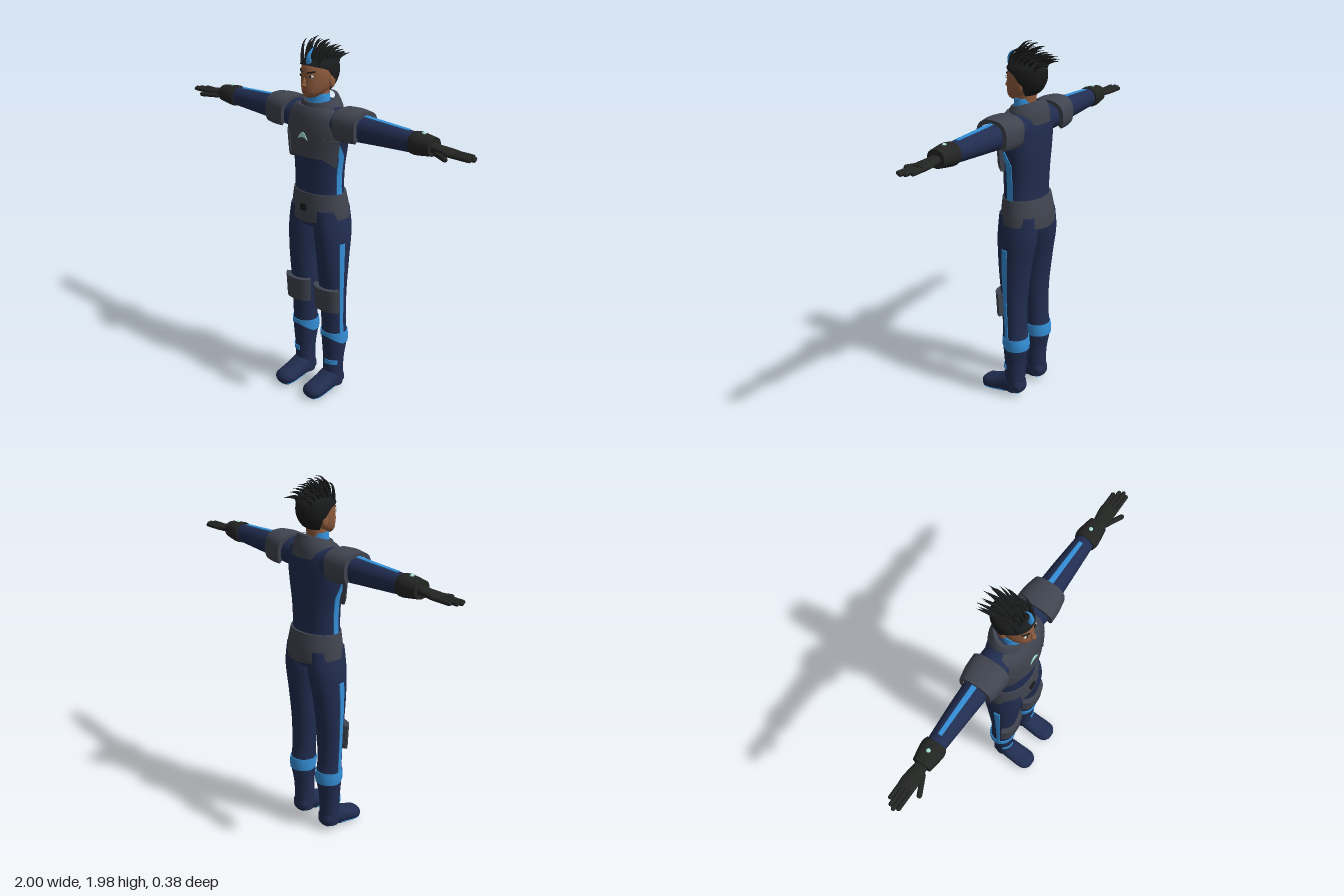
import * as THREE from 'three';
import { mergeVertices, toCreasedNormals } from 'three/addons/utils/BufferGeometryUtils.js';

const PI = Math.PI;
const palette = {
  navy: 0x212d50, armourGrey: 0x40444f, brightBlue: 0x348fd8, gloveBlack: 0x232523, hairBlack: 0x191a1b,
  skin: 0x8f5c3e, paleAqua: 0xa5e3d8, eyeWhite: 0xd8d8d4, lip: 0x74432f
};
const mats = {};
for (const [name, color] of Object.entries(palette)) {
  mats[name] = new THREE.MeshStandardMaterial({ color });
  mats[name].name = name;
}

// Smooth interpolation of cross-sections [t, c1, c2, r1, r2]
function sample(s, t) {
  let i = 0;
  while (i < s.length - 2 && t > s[i + 1][0]) i++;
  const h = s[i + 1][0] - s[i][0];
  const u = Math.min(1, Math.max(0, (t - s[i][0]) / h));
  const slope = (j, k) => {
    const a = s[Math.max(0, j - 1)], b = s[Math.min(s.length - 1, j + 1)];
    return (b[k] - a[k]) / (b[0] - a[0]);
  };
  const u2 = u * u, u3 = u2 * u;
  return s[i].map((p, k) => p * (2 * u3 - 3 * u2 + 1) + slope(i, k) * h * (u3 - 2 * u2 + u)
    + s[i + 1][k] * (3 * u2 - 2 * u3) + slope(i + 1, k) * h * (u3 - u2));
}

// Axis mappings: angle 0 points at +x, +z or +y; angle PI/2 at +z, +y or +x
const alongY = (t, p, q) => [p, t, q];
const alongX = (t, p, q) => [t, q, p];
const alongZ = (t, p, q) => [q, p, t];

// Surface over cross-sections: a closed body, or a raised plate when given an offset and depth
function loft(s, o = {}) {
  const { axis = alongY, off = 0, depth = 0, rows = 20, cols = 28, n = 2, a0 = 0, a1 = 2 * PI, crease = 0.8 } = o;
  const { t0 = s[0][0], t1 = s[s.length - 1][0] } = o;
  const val = (f, x) => (typeof f === 'function' ? f(x) : f);
  const ring = typeof a0 === 'number' && typeof a1 === 'number' && a1 - a0 > 6.28;
  const steps = (count, edge) => {
    const list = Array.from({ length: count + 1 }, (_, i) => [i / count, false]);
    return edge ? [[0, true], ...list, [1, true]] : list;
  };
  const us = steps(rows, true), vs = steps(cols, !ring), pos = [], idx = [];
  const bend = (x) => Math.sign(x) * Math.pow(Math.abs(x), 2 / n);
  for (const [u, edgeU] of us) for (const [v, edgeV] of vs) {
    const t = THREE.MathUtils.lerp(val(t0, v), val(t1, v), u);
    const a = THREE.MathUtils.lerp(val(a0, t), val(a1, t), v);
    const [, c1, c2, r1, r2] = sample(s, t);
    const edge = edgeU || edgeV, k = edge && !depth ? 0 : 1, d = off - (edge ? depth : 0);
    pos.push(...axis(t, c1 + k * (r1 + d) * bend(Math.cos(a)), c2 + k * (r2 + d) * bend(Math.sin(a))));
  }
  const w = vs.length;
  for (let i = 0; i < us.length - 1; i++) for (let j = 0; j < w - 1; j++) {
    const p = i * w + j;
    idx.push(p, p + w, p + w + 1, p, p + w + 1, p + 1);
  }
  const g = new THREE.BufferGeometry();
  g.setAttribute('position', new THREE.Float32BufferAttribute(pos, 3));
  g.setIndex(idx);
  return mergeVertices(toCreasedNormals(mergeVertices(g, 1e-5), crease));
}

// Curved lock tapering to a point
function spike(points, radius) {
  const path = new THREE.CatmullRomCurve3(points), ts = 10, rs = 6;
  const g = new THREE.TubeGeometry(path, ts, radius, rs), p = g.attributes.position, v = new THREE.Vector3();
  for (let i = 0; i < p.count; i++) {
    const f = Math.floor(i / (rs + 1)) / ts;
    v.fromBufferAttribute(p, i).lerp(path.getPointAt(f), Math.pow(f, 1.4));
    p.setXYZ(i, v.x, v.y, v.z);
  }
  g.computeVertexNormals();
  return g;
}

const ball = (x, y, z, rx, ry, rz) => new THREE.SphereGeometry(1, 16, 10).scale(rx, ry, rz).translate(x, y, z);

export function createModel() {
  const model = new THREE.Group();
  model.name = 'armouredFigure';
  const add = (name, geo, mat) => {
    const m = new THREE.Mesh(geo, mats[mat]);
    m.name = name;
    model.add(m);
  };
  const pair = (name, geo, mat) => {
    const other = geo.clone().scale(-1, 1, 1);
    other.index.array.reverse();
    add(name + 'Left', geo, mat);
    add(name + 'Right', other, mat);
  };

  // Torso
  const torso = [[0.98, 0, -0.015, 0.13, 0.1], [1.05, 0, -0.015, 0.165, 0.115], [1.17, 0, -0.01, 0.15, 0.105],
    [1.3, 0, -0.01, 0.152, 0.108], [1.42, 0, -0.013, 0.172, 0.108], [1.52, 0, -0.015, 0.185, 0.105],
    [1.59, 0, -0.018, 0.172, 0.093], [1.63, 0, -0.02, 0.115, 0.075], [1.65, 0, -0.02, 0.07, 0.06]];
  add('torso', loft(torso, { rows: 28, cols: 36 }), 'navy');
  const half = (t) => 0.8 + 0.36 * THREE.MathUtils.smoothstep(t, 1.37, 1.48);
  add('chestPlate', loft(torso, { t0: 1.37, t1: 1.625, a0: (t) => PI / 2 - half(t), a1: (t) => PI / 2 + half(t),
    off: 0.021, depth: 0.025 }), 'armourGrey');
  pair('ribPlate', loft(torso, { t0: (v) => 1.325 + 0.05 * v, t1: 1.475, a0: 0.38, a1: 0.95, off: 0.026, depth: 0.03, cols: 10 }), 'armourGrey');
  const sweep = (t) => Math.max(0, t - 1.37) * 5;
  pair('torsoStripe', loft(torso, { t0: 1.16, t1: 1.5, a0: (t) => sweep(t) - 0.08, a1: (t) => sweep(t) + 0.22,
    off: 0.005, depth: 0.008, cols: 4 }), 'brightBlue');
  add('chestLight', loft(torso, { t0: (v) => 1.462 + 0.012 * Math.sin(PI * v), t1: (v) => 1.465 + 0.035 * Math.sin(PI * v),
    a0: PI / 2 - 0.16, a1: PI / 2 + 0.16, off: 0.025, depth: 0.006, rows: 3, cols: 12 }), 'paleAqua');

  // Belt
  const belt = [[0.98, 0, -0.018, 0.178, 0.128], [1.07, 0, -0.018, 0.172, 0.127], [1.18, 0, -0.012, 0.153, 0.112]];
  add('belt', loft(belt, { t0: (v) => 1.022 + 0.012 * Math.cos(4 * PI * v), t1: 1.17, off: 0.002, depth: 0.03, rows: 8, cols: 40 }), 'armourGrey');
  add('buckle', loft(belt, { t0: 1.072, t1: 1.108, a0: PI / 2 - 0.12, a1: PI / 2 + 0.12, off: 0.01, depth: 0.012, rows: 2, cols: 3 }), 'hairBlack');

  // Collar and neck
  const collar = [[1.57, 0, -0.022, 0.132, 0.104], [1.63, 0, -0.026, 0.118, 0.096], [1.69, 0, -0.028, 0.078, 0.074]];
  add('collar', loft(collar, { t1: (v) => 1.665 - 0.02 * Math.sin(2 * PI * v), depth: 0.018, rows: 8, cols: 36 }), 'armourGrey');
  add('neckBand', loft([[1.6, 0, 0, 0.075, 0.07], [1.65, 0, 0, 0.068, 0.056], [1.69, 0, 0, 0.063, 0.052]], { rows: 6 }), 'brightBlue');
  add('neck', loft([[1.66, 0, -0.005, 0.056, 0.05], [1.75, 0, -0.01, 0.056, 0.055]], { rows: 4 }), 'skin');

  // Head and face
  const head = [[1.675, 0, 0.05, 0.024, 0.034], [1.69, 0, 0.04, 0.047, 0.056], [1.72, 0, 0.015, 0.067, 0.086],
    [1.77, 0, -0.003, 0.08, 0.102], [1.82, 0, -0.008, 0.081, 0.104], [1.855, 0, -0.012, 0.068, 0.088], [1.88, 0, -0.015, 0.025, 0.04]];
  add('head', loft(head, { cols: 36, crease: 1.2 }), 'skin');
  add('nose', spike([new THREE.Vector3(0, 1.738, 0.103), new THREE.Vector3(0, 1.765, 0.1), new THREE.Vector3(0, 1.795, 0.088)], 0.014), 'skin');
  add('noseTip', ball(0, 1.742, 0.105, 0.015, 0.011, 0.015), 'skin');
  add('mouth', ball(0, 1.712, 0.096, 0.024, 0.006, 0.007), 'lip');
  pair('ear', ball(0.081, 1.757, -0.018, 0.01, 0.033, 0.02), 'skin');
  pair('eye', ball(0.034, 1.788, 0.086, 0.015, 0.008, 0.008), 'eyeWhite');
  pair('pupil', ball(0.034, 1.788, 0.092, 0.007, 0.007, 0.004), 'hairBlack');
  const brow = (v) => 1.802 + 0.008 * v;
  pair('eyebrow', loft(head, { t0: (v) => brow(1 - v), t1: (v) => brow(1 - v) + 0.007, a0: PI / 2 - 0.7, a1: PI / 2 - 0.2,
    off: 0.004, depth: 0.006, rows: 2, cols: 6 }), 'hairBlack');

  // Hair: cap with a hairline lower at the back, then swept-back locks
  const hairline = (v) => {
    const f = Math.sin(2 * PI * v);
    return f > 0 ? 1.795 + 0.048 * Math.sqrt(f) : 1.795 - 0.09 * Math.min(1, -f * 1.5);
  };
  add('hairCap', loft(head, { t0: hairline, off: 0.011, depth: 0.014, rows: 12, cols: 44 }), 'hairBlack');
  add('hairCrown', ball(0, 1.855, -0.02, 0.06, 0.032, 0.078), 'hairBlack');
  let seed = 7;
  const rnd = () => (seed = (seed * 16807) % 2147483647) / 2147483647;
  for (let r = 0; r < 6; r++) for (let c = 0; c < 6; c++) {
    const x = (c - 2.5) * 0.021 + (rnd() - 0.5) * 0.01, z = 0.055 - r * 0.028;
    const y = 1.862 - 4 * x * x - 3 * Math.max(0, -0.03 - z) ** 2;
    const rise = (0.128 - r * 0.014 - Math.abs(x) * 0.55) * (0.72 + 0.36 * rnd()), back = 0.07 + 0.025 * rnd();
    const lean = x * 0.45 - 0.012 + (rnd() - 0.5) * 0.02;
    add('hairLock', spike([new THREE.Vector3(x, y - 0.012, z), new THREE.Vector3(x + lean * 0.3, y + rise * 0.55, z - back * 0.15),
      new THREE.Vector3(x + lean * 0.7, y + rise * 0.92, z - back * 0.55), new THREE.Vector3(x + lean, Math.min(1.998, y + rise), z - back)], 0.0115), 'hairBlack');
  }
  add('blueLock', spike([new THREE.Vector3(0.012, 1.845, 0.077), new THREE.Vector3(0.014, 1.885, 0.084),
    new THREE.Vector3(0.02, 1.915, 0.07), new THREE.Vector3(0.012, 1.93, 0.045)], 0.016), 'brightBlue');

  // Arms
  const arm = [[0.11, -0.015, 1.55, 0.08, 0.075], [0.2, -0.012, 1.552, 0.084, 0.076], [0.31, -0.01, 1.551, 0.068, 0.069],
    [0.45, -0.01, 1.552, 0.06, 0.061], [0.65, -0.008, 1.554, 0.048, 0.051]];
  pair('arm', loft(arm, { axis: alongX }), 'navy');
  pair('armStripe', loft(arm, { axis: alongX, t0: 0.3, t1: 0.6, a0: PI / 2 - 0.2, a1: PI / 2 + 0.2, off: 0.004, depth: 0.007, cols: 4 }), 'brightBlue');
  const pad = [[0.165, -0.012, 1.552, 0.106, 0.088], [0.25, -0.011, 1.553, 0.103, 0.092], [0.32, -0.01, 1.553, 0.09, 0.087]];
  pair('shoulderPad', loft(pad, { axis: alongX, n: 2.6, t0: (v) => 0.195 - 0.022 * Math.sin(PI * v), a0: -0.7, a1: PI + 0.7,
    depth: 0.022, rows: 8 }), 'armourGrey');

  // Cuffs and gloves
  const cuff = [[0.635, -0.008, 1.555, 0.056, 0.054], [0.66, -0.008, 1.555, 0.063, 0.056], [0.755, -0.006, 1.556, 0.049, 0.045]];
  pair('cuff', loft(cuff, { axis: alongX, rows: 8, n: 2.3 }), 'gloveBlack');
  pair('cuffButton', ball(0.69, 1.61, -0.008, 0.011, 0.006, 0.011), 'paleAqua');
  const palm = [[0.74, -0.006, 1.553, 0.028, 0.024], [0.79, -0.006, 1.552, 0.036, 0.018], [0.85, -0.006, 1.549, 0.044, 0.016], [0.885, -0.006, 1.548, 0.042, 0.012]];
  pair('palm', loft(palm, { axis: alongX, n: 2.5, rows: 10 }), 'gloveBlack');
  const digit = (x0, z0, x1, z1, y, r) => {
    const len = Math.hypot(x1 - x0, z1 - z0);
    return new THREE.CapsuleGeometry(r, len - 2 * r, 4, 10).rotateZ(-PI / 2).rotateY(-Math.atan2(z1 - z0, x1 - x0))
      .translate((x0 + x1) / 2, y, (z0 + z1) / 2);
  };
  [0.965, 0.99, 1, 0.988].forEach((tip, i) => pair('finger' + i, digit(0.85, -0.037 + i * 0.021, tip, -0.037 + i * 0.021, 1.547, 0.011), 'gloveBlack'));
  pair('thumb', digit(0.775, 0.018, 0.885, 0.072, 1.538, 0.013), 'gloveBlack');

  // Legs
  const leg = [[0.03, 0.11, -0.008, 0.055, 0.05], [0.1, 0.11, -0.006, 0.057, 0.056], [0.2, 0.111, -0.008, 0.06, 0.057],
    [0.32, 0.112, -0.014, 0.071, 0.071], [0.42, 0.111, -0.008, 0.07, 0.065], [0.6, 0.108, -0.004, 0.077, 0.071],
    [0.8, 0.105, -0.006, 0.083, 0.094], [0.96, 0.094, -0.014, 0.09, 0.113], [1.08, 0.085, -0.015, 0.08, 0.11]];
  pair('leg', loft(leg, { rows: 40 }), 'navy');
  pair('legStripe', loft(leg, { t0: 0.37, t1: 0.9, a0: 0.02, a1: 0.34, off: 0.005, depth: 0.008, cols: 4 }), 'brightBlue');
  pair('kneePad', loft(leg, { t0: 0.508, t1: 0.64, a0: PI / 2 - 1.15, a1: PI / 2 + 1.15, off: 0.023, depth: 0.027, rows: 6, cols: 16, n: 2.4 }), 'armourGrey');
  pair('shinBand', loft(leg, { t0: (v) => 0.3 + 0.045 * Math.max(0, Math.sin(2 * PI * v)) ** 1.5, t1: 0.368,
    off: 0.005, depth: 0.008, rows: 4, cols: 36 }), 'brightBlue');
  pair('ankleStripe', loft(leg, { t0: 0.17, t1: 0.196, a0: 0.45, a1: 1.75, off: 0.005, depth: 0.008, rows: 2, cols: 12 }), 'brightBlue');

  // Boots
  const foot = [[-0.062, 0.06, 0.11, 0.024, 0.03], [-0.045, 0.068, 0.11, 0.048, 0.05], [0.02, 0.072, 0.11, 0.062, 0.056],
    [0.08, 0.056, 0.11, 0.05, 0.059], [0.14, 0.042, 0.11, 0.04, 0.061], [0.18, 0.038, 0.11, 0.034, 0.052], [0.2, 0.038, 0.11, 0.014, 0.025]];
  pair('boot', loft(foot, { axis: alongZ, n: 2.3 }), 'navy');
  pair('toeSole', loft(foot, { axis: alongZ, n: 2.3, t0: 0.045, t1: 0.18, a0: PI - 0.95, a1: PI + 0.95, off: 0.003, depth: 0.006, cols: 12 }), 'brightBlue');
  pair('heelSole', loft(foot, { axis: alongZ, n: 2.3, t0: -0.04, t1: 0.015, a0: PI - 0.6, a1: PI + 0.6, off: 0.003, depth: 0.006, rows: 5, cols: 10 }), 'brightBlue');

  return model;
}
